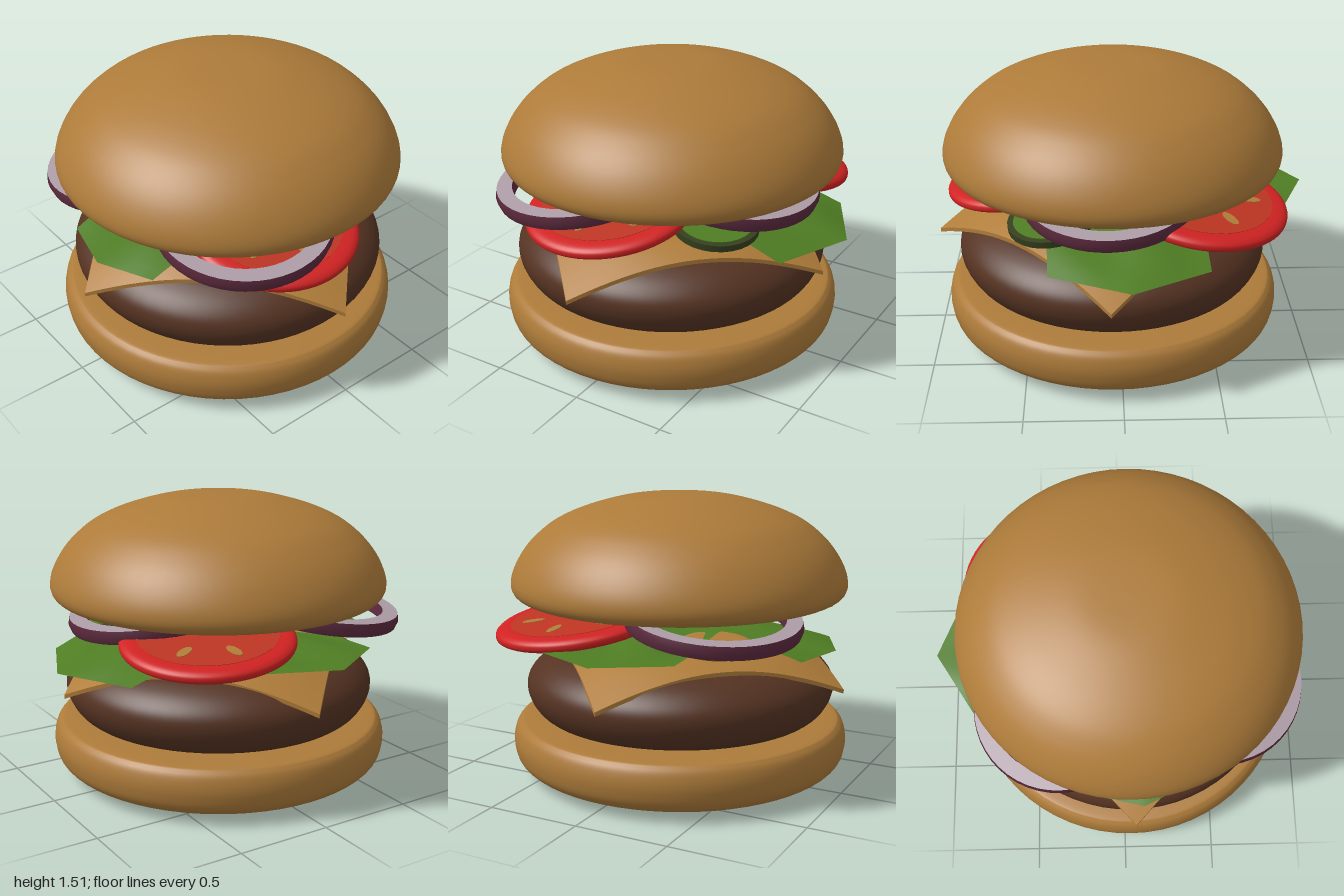
import * as THREE from 'three';

const V2 = (p) => new THREE.Vector2(p[0], p[1]);

function makeMaterial(name, color, side = THREE.FrontSide) {
  const m = new THREE.MeshStandardMaterial({ color, side });
  m.name = name;
  return m;
}

function addMesh(parent, name, geometry, material) {
  const mesh = new THREE.Mesh(geometry, material);
  mesh.name = name;
  parent.add(mesh);
  return mesh;
}

// Smooth turned solid through a few profile points (bottom to top)
function turned(points, steps = 40) {
  const curve = new THREE.SplineCurve(points.map(V2)).getPoints(steps);
  curve.forEach((p) => { p.x = Math.max(p.x, 0); });
  return new THREE.LatheGeometry(curve, 64);
}

// Group at a position whose side facing away from the middle tips downward
function tipped(parent, name, x, y, z, tilt) {
  const g = new THREE.Group();
  g.name = name;
  g.position.set(x, y, z);
  const d = new THREE.Vector3(x, 0, z).normalize();
  g.quaternion.setFromAxisAngle(new THREE.Vector3(d.z, 0, -d.x), tilt);
  parent.add(g);
  return g;
}

export function createModel() {
  const model = new THREE.Group();
  model.name = 'burger';

  const bun = makeMaterial('bun brown', 0xad7b3a);
  const pattyBrown = makeMaterial('patty brown', 0x553322);
  const cheeseTan = makeMaterial('cheese tan', 0xb07d3a);
  const green = makeMaterial('lettuce green', 0x4f7d23, THREE.DoubleSide);
  const pickleDark = makeMaterial('pickle dark green', 0x36401e);
  const red = makeMaterial('tomato red', 0xd02222);
  const flesh = makeMaterial('tomato flesh', 0xbd3523);
  const purple = makeMaterial('onion purple', 0x5c2a3e);
  const onionPale = makeMaterial('onion pale', 0xad9ca6);

  // Buns and patty
  const bottomBun = addMesh(model, 'bottomBun', turned([
    [0, 0], [0.35, 0.003], [0.65, 0.012], [0.81, 0.035], [0.89, 0.085], [0.915, 0.16],
    [0.912, 0.23], [0.885, 0.285], [0.82, 0.303], [0.5, 0.308], [0, 0.308]], 60), bun);
  bottomBun.position.set(0.035, 0, 0.035);

  const patty = addMesh(model, 'patty', turned([
    [0, 0.31], [0.4, 0.31], [0.68, 0.315], [0.77, 0.345], [0.825, 0.42], [0.84, 0.5],
    [0.81, 0.57], [0.73, 0.635], [0.6, 0.68], [0.35, 0.7], [0, 0.705]], 60), pattyBrown);
  patty.position.set(0.04, 0, 0.035);

  const topBun = addMesh(model, 'topBun', turned([
    [0, 0.965], [0.45, 0.965], [0.78, 0.967], [0.87, 0.98], [0.905, 1.03], [0.893, 1.11],
    [0.84, 1.21], [0.76, 1.3], [0.65, 1.38], [0.48, 1.45], [0.25, 1.505], [0, 1.515]], 72), bun);
  topBun.position.set(0.035, 0, 0.03);

  // Square cheese slice turned cornerwise, drooping over the patty
  const slice = new THREE.BoxGeometry(1.32, 0.022, 1.32, 24, 1, 24).rotateY(Math.PI / 4);
  const sp = slice.attributes.position;
  for (let i = 0; i < sp.count; i++) {
    const r = Math.hypot(sp.getX(i), sp.getZ(i));
    const e = r - 0.56;
    const droop = 0.28 * (e + Math.sqrt(e * e + 0.008));
    sp.setY(i, sp.getY(i) + 0.745 - droop);
  }
  slice.computeVertexNormals();
  const cheese = addMesh(model, 'cheese', slice, cheeseTan);
  cheese.position.set(0.06, 0, 0.04);

  // Lettuce leaves: blunt pointed sheets spreading from the middle
  const leaf = (name, x, z, tipY, halfWidth, slope) => {
    const g = new THREE.PlaneGeometry(2, 1, 16, 12);
    const p = g.attributes.position;
    const reach = Math.hypot(x, z), dx = x / reach, dz = z / reach;
    for (let i = 0; i < p.count; i++) {
      const s = p.getX(i) * halfWidth, t = p.getY(i) + 0.5;
      const r = 0.1 + t * (reach - 0.1 - slope * Math.abs(s));
      const wave = 0.02 * Math.sin(s * 14 + r * 5) * t * (1 - t) * 3;
      const y = 0.83 + (tipY - 0.83) * t * t + wave;
      p.setXYZ(i, dx * r - dz * s, y, dz * r + dx * s);
    }
    g.computeVertexNormals();
    addMesh(model, name, g, green);
  };
  leaf('rightLettuce', -1.0, 0.08, 0.8, 0.36, 0.52);
  leaf('backLettuce', -0.04, -0.97, 0.7, 0.4, 0.48);
  leaf('frontLettuce', 0.1, 0.91, 0.735, 0.3, 0.35);

  // Tomato slices with a rounded skin, flesh face and seed pockets
  const tomato = (name, x, y, z, tilt) => {
    const g = tipped(model, name, x, y, z, tilt);
    addMesh(g, 'tomatoSkin', turned([
      [0, -0.035], [0.25, -0.036], [0.39, -0.034], [0.435, -0.02], [0.445, 0],
      [0.435, 0.022], [0.39, 0.036], [0.25, 0.036], [0, 0.036]]), red);
    for (const side of [1, -1]) {
      const face = addMesh(g, 'tomatoFlesh', new THREE.CylinderGeometry(0.36, 0.36, 0.004, 40), flesh);
      face.position.y = side * 0.037;
      for (let i = 0; i < 6; i++) {
        const a = (i * Math.PI) / 3;
        const pocket = addMesh(g, 'seedPocket', new THREE.CylinderGeometry(0.06, 0.06, 0.004, 16), cheeseTan);
        pocket.scale.set(1, 1, 0.45);
        pocket.position.set(0.24 * Math.cos(a), side * 0.04, 0.24 * Math.sin(a));
        pocket.rotation.y = -a;
      }
    }
  };
  tomato('leftTomato', 0.5, 0.835, 0.11, 0.17);
  tomato('backTomato', -0.42, 0.865, -0.32, 0.15);

  // Pickle slices: dark rind with green faces
  const pickle = (x, y, z, tilt) => {
    const g = tipped(model, 'pickle', x, y, z, tilt);
    addMesh(g, 'pickleRind', new THREE.CylinderGeometry(0.22, 0.22, 0.035, 28), pickleDark);
    addMesh(g, 'pickleFace', new THREE.CylinderGeometry(0.19, 0.19, 0.042, 28), green);
  };
  pickle(0.36, 0.82, -0.43, 0.15);
  pickle(0.24, 0.88, -0.3, 0.12);

  // Small tan slice at the front
  const round = tipped(model, 'tanSlice', -0.28, 0.785, 0.4, 0.05);
  addMesh(round, 'tanSliceBody', turned([
    [0, -0.035], [0.14, -0.035], [0.19, -0.02], [0.2, 0], [0.19, 0.02], [0.14, 0.035], [0, 0.035]]), cheeseTan);

  // Onion rings: purple walls, pale cut faces
  const onion = (name, x, y, z, tilt) => {
    const g = tipped(model, name, x, y, z, tilt);
    const ro = 0.455, ri = 0.365, h = 0.035;
    addMesh(g, 'onionOuterSkin', new THREE.LatheGeometry(
      [[ro - 0.01, -h], [ro, 0], [ro - 0.01, h]].map(V2), 48), purple);
    addMesh(g, 'onionInnerSkin', new THREE.LatheGeometry([[ri, h], [ri, -h]].map(V2), 48), purple);
    for (const side of [1, -1]) {
      const face = addMesh(g, 'onionCutFace', new THREE.RingGeometry(ri, ro - 0.01, 48), onionPale);
      face.rotation.x = (-side * Math.PI) / 2;
      face.position.y = side * h;
    }
  };
  onion('leftOnion', 0.49, 0.94, 0.29, 0.14);
  onion('rightOnion', -0.33, 0.93, 0.41, 0.15);
  onion('backOnion', 0.06, 0.93, -0.36, 0.15);

  return model;
}
